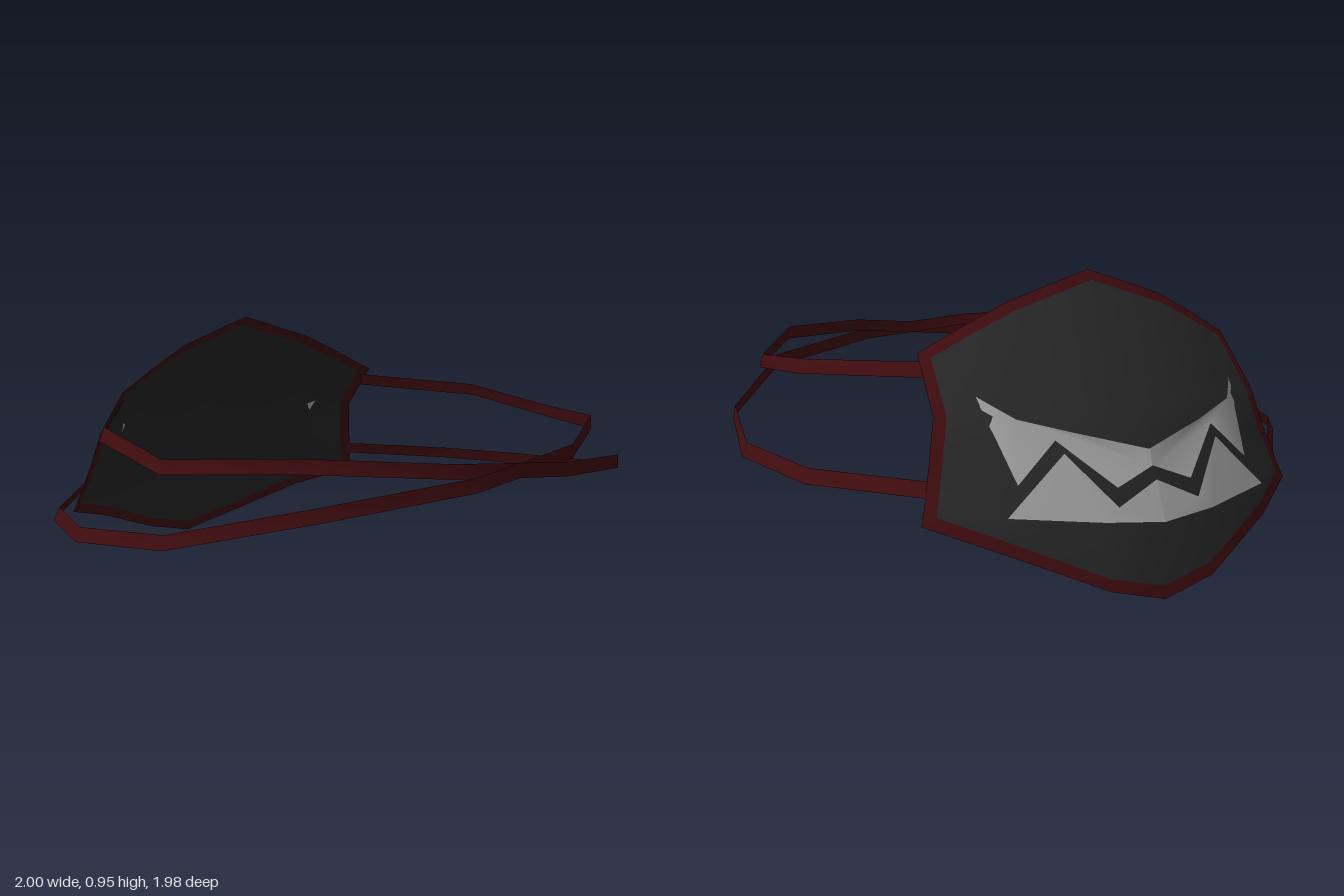
import * as THREE from 'three';

const mat = (name, color) => {
  const m = new THREE.MeshStandardMaterial({ color, side: THREE.DoubleSide });
  m.name = name;
  return m;
};
const V = (p) => new THREE.Vector3(...p);
const mirror = (p) => new THREE.Vector3(-p.x, p.y, p.z);

function makeMesh(name, points, index, material) {
  const g = new THREE.BufferGeometry().setFromPoints(points);
  g.setIndex(index);
  g.computeVertexNormals();
  const m = new THREE.Mesh(g, material);
  m.name = name;
  return m;
}

// Half of the face cover: rows from top to chin, each from the centre to the side edge
const HALF = [
  [[0, 0.95, -0.51], [0.28, 0.86, -0.5], [0.43, 0.785, -0.48], [0.57, 0.71, -0.455]],
  [[0, 0.55, -0.805], [0.2, 0.55, -0.785], [0.42, 0.545, -0.71], [0.585, 0.54, -0.61]],
  [[0, 0.43, -0.87], [0.2, 0.43, -0.84], [0.42, 0.42, -0.75], [0.615, 0.41, -0.645]],
  [[0, 0.27, -0.94], [0.2, 0.265, -0.905], [0.46, 0.26, -0.825], [0.645, 0.3, -0.68]],
  [[0, 0, -0.99], [0.18, 0.045, -0.975], [0.47, 0.165, -0.845], [0.665, 0.235, -0.7]],
];
const TRIM = 0.04;

// Adds a point a fixed distance in from each end of a line of points
function inset(line) {
  const step = (a, b) => a.clone().add(b.clone().sub(a).setLength(TRIM));
  const n = line.length;
  return [line[0], step(line[0], line[1]), ...line.slice(1, n - 1),
    step(line[n - 1], line[n - 2]), line[n - 1]];
}

function buildCover(fabric, trim) {
  const group = new THREE.Group();
  group.name = 'faceCover';
  const rows = HALF.map((r) => {
    const half = r.map(V);
    return [...half.slice(1).reverse().map(mirror), ...half];
  });
  const cols = rows[0].map((_, c) => inset(rows.map((r) => r[c])));
  const grid = cols[0].map((_, r) => inset(cols.map((c) => c[r])));
  const nr = grid.length, nc = grid[0].length;
  const inner = [], border = [];
  for (let r = 0; r < nr - 1; r++) {
    for (let c = 0; c < nc - 1; c++) {
      const a = r * nc + c, b = a + 1, d = a + nc, e = d + 1;
      const edge = r === 0 || c === 0 || r === nr - 2 || c === nc - 2;
      // diagonals mirror about the centre line
      const tris = c < nc / 2 - 1 ? [a, b, d, b, e, d] : [a, b, e, a, e, d];
      (edge ? border : inner).push(...tris);
    }
  }
  const pts = grid.flat();
  group.add(makeMesh('coverPanel', pts, inner, fabric), makeMesh('coverTrim', pts, border, trim));
  return group;
}

// Jagged grin: half outlines along the smooth edge and the zigzag edge, centre outward
const GRIN = {
  upperTeeth: {
    smooth: [[0, 0.44, -0.885], [0.23, 0.5, -0.818], [0.38, 0.54, -0.752], [0.465, 0.6, -0.645]],
    zigzag: [[0, 0.39, -0.905], [0.13, 0.34, -0.92], [0.28, 0.475, -0.808], [0.41, 0.355, -0.82]],
  },
  lowerTeeth: {
    smooth: [[0, 0.235, -0.982], [0.19, 0.25, -0.955], [0.46, 0.27, -0.848]],
    zigzag: [[0, 0.355, -0.928], [0.14, 0.29, -0.945], [0.27, 0.445, -0.845]],
  },
};

function buildTeeth(name, { smooth, zigzag }, material) {
  const half = [...smooth, ...zigzag.slice().reverse()].map(V);
  const flat = half.map((p) => new THREE.Vector2(p.x, p.y));
  // outward side faces -z
  const tris = THREE.ShapeUtils.triangulateShape(flat, []).map(([a, b, c]) => {
    const area = flat[b].clone().sub(flat[a]).cross(flat[c].clone().sub(flat[a]));
    return area > 0 ? [a, c, b] : [a, b, c];
  });
  const n = half.length;
  const index = [...tris.flat(), ...tris.flatMap(([a, b, c]) => [a + n, c + n, b + n])];
  return makeMesh(name, [...half, ...half.map(mirror)], index, material);
}

// Head straps: half paths from the cover's side edge to the back of the head
const STRAPS = {
  upperStrap: [[0.555, 0.662, -0.49], [0.83, 0.64, -0.11], [0.845, 0.602, 0.305],
    [0.62, 0.642, 0.7], [0.25, 0.622, 0.95], [0, 0.598, 0.972]],
  lowerStrap: [[0.63, 0.335, -0.67], [0.895, 0.335, -0.34], [0.99, 0.355, 0.02],
    [0.915, 0.405, 0.43], [0.64, 0.52, 0.81], [0.19, 0.58, 0.987], [0, 0.598, 0.972]],
};

function buildStrap(name, path, material) {
  const half = path.map(V);
  const line = [...half, ...half.slice(0, -1).reverse().map(mirror)];
  const pts = [], index = [];
  line.forEach((p, i) => {
    // flat ribbon whose top leans inward, less so toward the back
    const lean = 0.011 * THREE.MathUtils.clamp((0.9 - p.z) / 1.1, 0, 1);
    const out = new THREE.Vector3(p.x, 0, p.z).setLength(lean);
    const up = new THREE.Vector3(0, 0.023, 0).sub(out);
    pts.push(p.clone().add(up), p.clone().sub(up));
    if (i) {
      const a = 2 * i - 2;
      index.push(a, a + 2, a + 1, a + 1, a + 2, a + 3);
    }
  });
  return makeMesh(name, pts, index, material);
}

export function createModel() {
  const fabric = mat('blackFabric', 0x272727);
  const trim = mat('darkRedTrim', 0x400c0f);
  const teeth = mat('greyTeeth', 0xa0a0a0);

  const model = new THREE.Group();
  model.name = 'faceMask';
  model.add(buildCover(fabric, trim));
  for (const [name, outline] of Object.entries(GRIN)) model.add(buildTeeth(name, outline, teeth));
  for (const [name, path] of Object.entries(STRAPS)) model.add(buildStrap(name, path, trim));
  return model;
}
